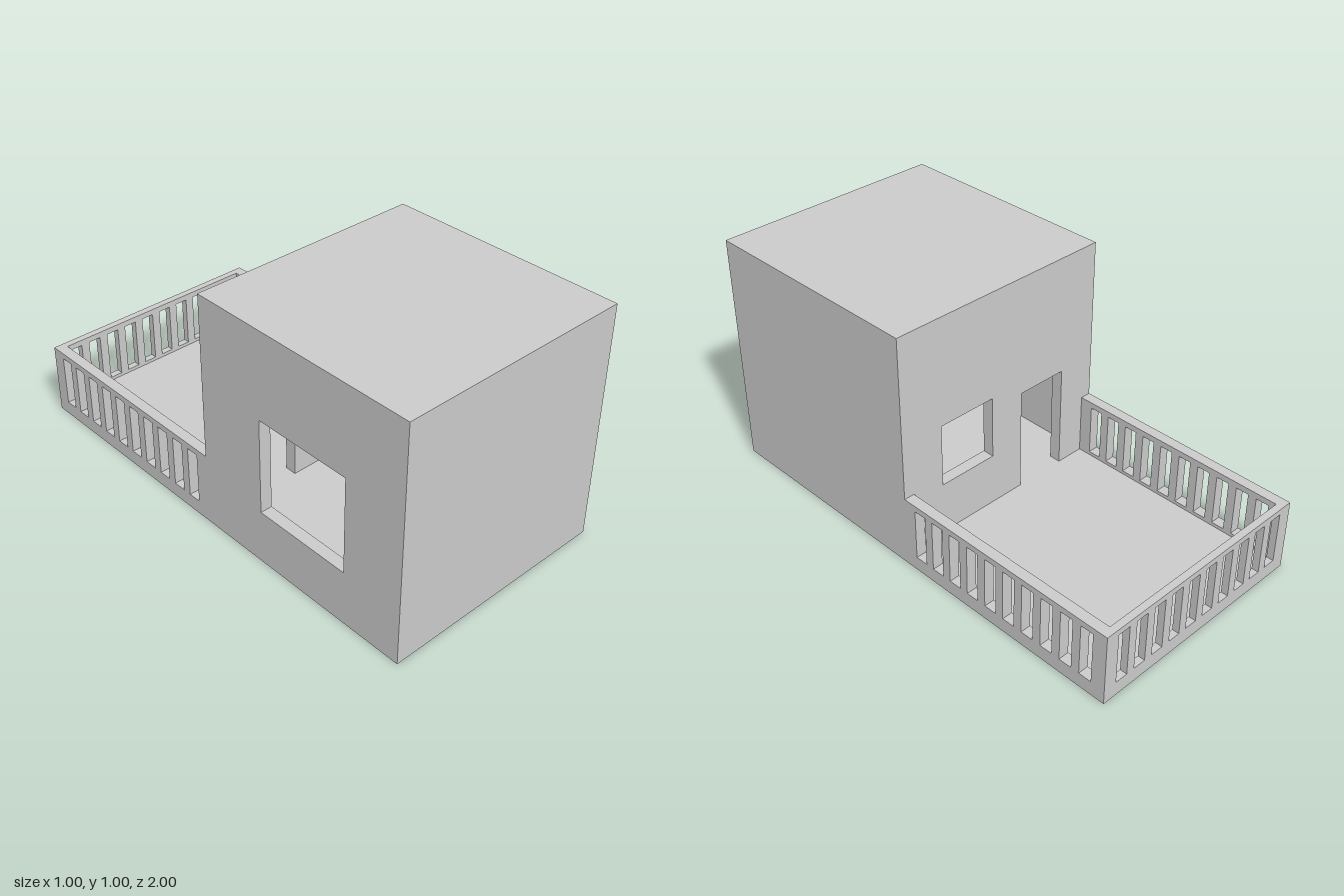
import * as THREE from 'three';

const material = new THREE.MeshStandardMaterial({ color: 0xcccccc, flatShading: true });
const WALL = 0.05, FLOOR = 0.045;

// Rectangle outline from (a0, y0) to (a1, y1)
function rect(Type, [a0, a1, y0, y1]) {
  const p = new Type();
  p.moveTo(a0, y0);
  p.lineTo(a1, y0);
  p.lineTo(a1, y1);
  p.lineTo(a0, y1);
  p.closePath();
  return p;
}

// Upright panel with rectangular openings, lying in the xy plane
function panel(outline, openings, depth) {
  const shape = rect(THREE.Shape, outline);
  shape.holes = openings.map(o => rect(THREE.Path, o));
  return new THREE.ExtrudeGeometry(shape, { depth, bevelEnabled: false });
}

// Row of ten slots between balusters, centred on a given coordinate
function slots(center) {
  return Array.from({ length: 10 }, (_, i) => {
    const c = center + (i - 4.5) * 0.092;
    return [c - 0.0275, c + 0.0275, 0.06, 0.28];
  });
}

export function createModel() {
  const model = new THREE.Group();

  const add = (parent, name, geometry, x = 0, y = 0, z = 0) => {
    const mesh = new THREE.Mesh(geometry, material);
    mesh.name = name;
    mesh.position.set(x, y, z);
    parent.add(mesh);
  };
  // Panel running along z, occupying x from x0 to x0 + depth
  const addSide = (parent, name, outline, openings, depth, x0) =>
    add(parent, name, panel(outline, openings, depth).rotateY(-Math.PI / 2), x0 + depth);

  // Slab shared by the room and the terrace
  add(model, 'floor', new THREE.BoxGeometry(1, FLOOR, 2), 0, FLOOR / 2, 0);

  // Hollow room
  const house = new THREE.Group();
  house.name = 'house';
  const door = [-0.33, -0.105, FLOOR, 0.49];
  const backWindow = [0.05, 0.31, 0.27, 0.54];
  const sideWindow = [0.31, 0.735, 0.23, 0.635];
  const top = 1 - WALL;
  add(house, 'backWall', panel([-0.5, 0.5, FLOOR, top], [door, backWindow], WALL));
  add(house, 'frontWall', panel([-0.5, 0.5, FLOOR, top], [], WALL), 0, 0, 1 - WALL);
  addSide(house, 'leftWall', [WALL, 1 - WALL, FLOOR, top], [], WALL, 0.5 - WALL);
  addSide(house, 'rightWall', [WALL, 1 - WALL, FLOOR, top], [sideWindow], WALL, -0.5);
  add(house, 'roof', new THREE.BoxGeometry(1, WALL, 1), 0, 1 - WALL / 2, 0.5);
  model.add(house);

  // Slotted terrace railings
  const terrace = new THREE.Group();
  terrace.name = 'terraceRailing';
  const sideT = 0.045, backT = 0.03, railTop = 0.305;
  add(terrace, 'backRailing', panel([-0.5, 0.5, FLOOR, railTop], slots(0), backT), 0, 0, -1);
  for (const [name, x0] of [['leftRailing', 0.5 - sideT], ['rightRailing', -0.5]]) {
    addSide(terrace, name, [-1 + backT, 0, FLOOR, railTop], slots(-0.497), sideT, x0);
  }
  model.add(terrace);

  return model;
}
